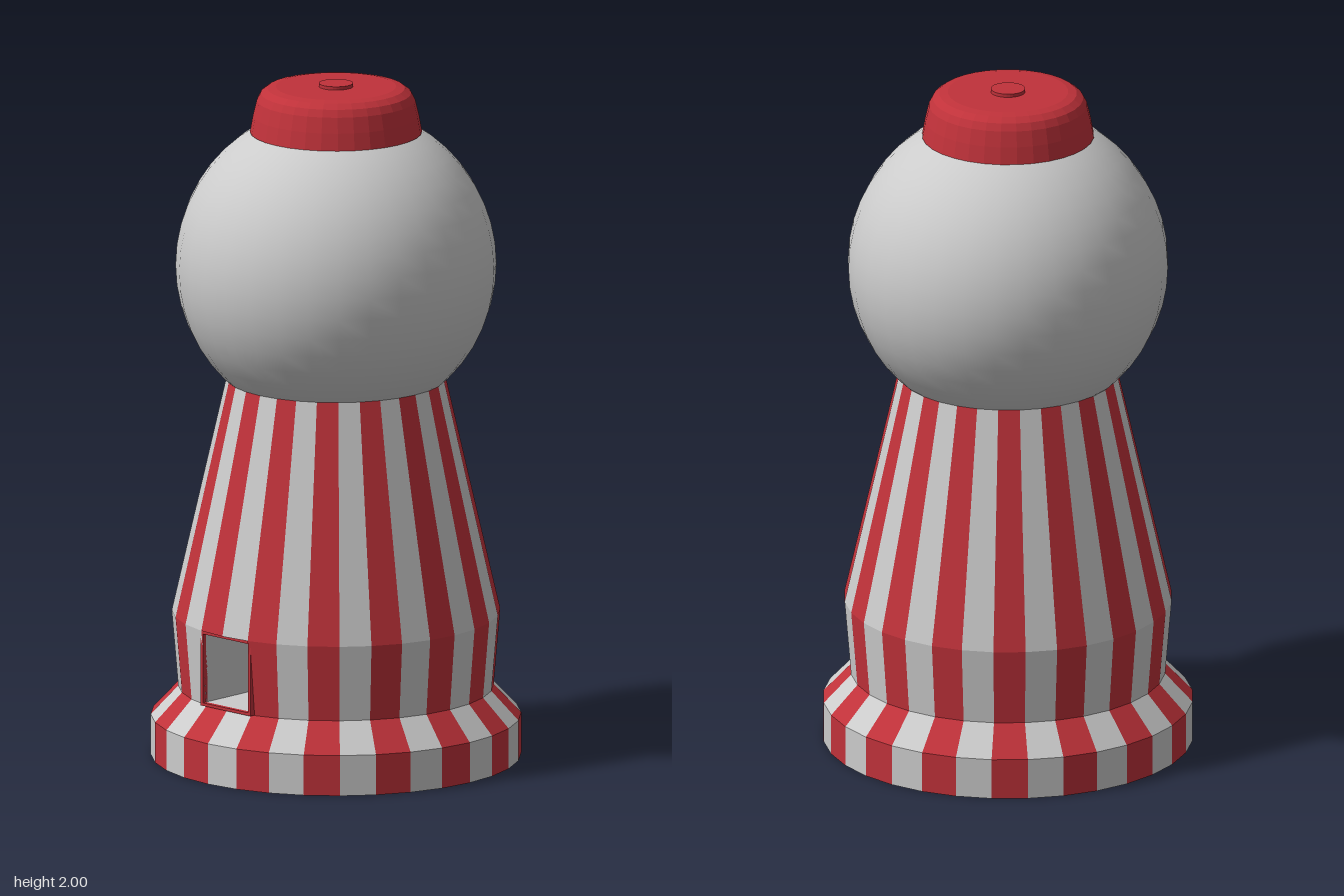
import * as THREE from 'three';
import { mergeGeometries } from 'three/addons/utils/BufferGeometryUtils.js';

const SIDES = 32;
const STEP = (Math.PI * 2) / SIDES;
const grey = new THREE.MeshStandardMaterial({ color: 0xcccccc, flatShading: true });
const greySmooth = new THREE.MeshStandardMaterial({ color: 0xcccccc });
const red = new THREE.MeshStandardMaterial({ color: 0xc0323a, flatShading: true });

const points = (list) => list.map(([r, y]) => new THREE.Vector2(r, y));

function add(parent, name, geometry, material) {
  const mesh = new THREE.Mesh(geometry, material);
  mesh.name = name;
  parent.add(mesh);
  return mesh;
}

// Facets of a turned profile, alternating grey and red around the axis
function stripedRing(name, profile, skip = []) {
  const group = new THREE.Group();
  group.name = name;
  const strips = [[], []];
  for (let i = 0; i < SIDES; i++) {
    if (skip.includes(i)) continue;
    strips[i % 2].push(new THREE.LatheGeometry(points(profile), 1, i * STEP, STEP));
  }
  add(group, name + 'GreyStripes', mergeGeometries(strips[0]), grey);
  add(group, name + 'RedStripes', mergeGeometries(strips[1]), red);
  return group;
}

// Rectangular tube running along z
function rectangularTube(halfWidth, bottom, top, wall, depth) {
  const rect = (Type, w, b, t) => {
    const path = new Type();
    path.moveTo(-w, b);
    path.lineTo(w, b);
    path.lineTo(w, t);
    path.lineTo(-w, t);
    path.closePath();
    return path;
  };
  const shape = rect(THREE.Shape, halfWidth + wall, bottom - wall, top + wall);
  shape.holes.push(rect(THREE.Path, halfWidth, bottom, top));
  return new THREE.ExtrudeGeometry(shape, { depth, bevelEnabled: false });
}

export function createModel() {
  const model = new THREE.Group();
  model.name = 'candyDispenser';

  // Foot with a sloped top edge
  model.add(stripedRing('foot', [[0.538, 0], [0.538, 0.12], [0.458, 0.205]]));
  add(model, 'footUnderside', new THREE.LatheGeometry(points([[0, 0], [0.538, 0]]), SIDES), red);

  // Body: short lower band with the front opening, then the long taper
  model.add(stripedRing('lowerBody', [[0.458, 0.205], [0.477, 0.43]], [0, SIDES - 1]));
  model.add(stripedRing('upperBody', [[0.477, 0.43], [0.318, 1.125]]));

  // Dispensing opening: red rim, grey recess
  add(model, 'openingRim', rectangularTube(0.091, 0.215, 0.42, 0.009, 0.02), red).position.z = 0.444;
  add(model, 'recessWalls', rectangularTube(0.091, 0.215, 0.42, 0.008, 0.25), grey).position.z = 0.2;
  add(model, 'recessBack', new THREE.BoxGeometry(0.2, 0.22, 0.01), grey).position.set(0, 0.317, 0.2);

  // Globe
  add(model, 'globe', new THREE.SphereGeometry(0.466, SIDES, 24), greySmooth).position.y = 1.46;

  // Lid with a small button on top
  const lidProfile = [[0, 1.855], [0.25, 1.855], [0.241, 1.905], [0.23, 1.95],
    [0.219, 1.971], [0.2, 1.985], [0.175, 1.99], [0, 1.99]];
  add(model, 'lid', new THREE.LatheGeometry(points(lidProfile), SIDES), red);
  add(model, 'lidButton', new THREE.CylinderGeometry(0.05, 0.05, 0.02, SIDES), red).position.y = 1.99;

  return model;
}
